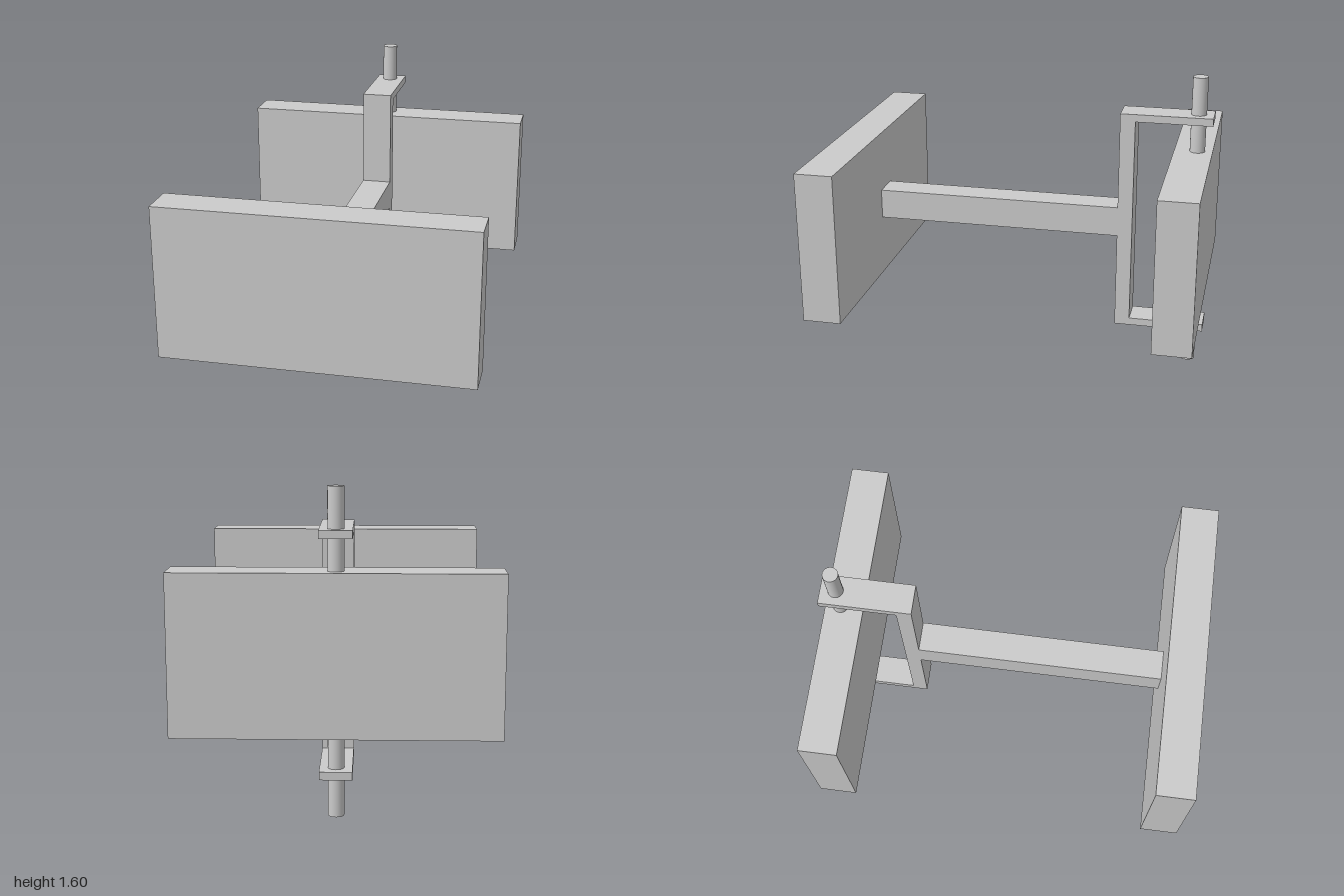
import * as THREE from 'three';

const material = new THREE.MeshStandardMaterial({ color: 0xcccccc });

function add(parent, name, geometry, x, y, z) {
  const mesh = new THREE.Mesh(geometry, material);
  mesh.name = name;
  mesh.position.set(x, y, z);
  parent.add(mesh);
  return mesh;
}

export function createModel() {
  const model = new THREE.Group();
  model.name = 'pivotingFrame';

  // Two matching boards, one fixed in front and one hinged at the back
  for (const [name, z] of [['frontBoard', 0.9], ['backBoard', -0.9]]) {
    add(model, name, new THREE.BoxGeometry(1.6, 0.8, 0.2), 0, 0.8, z);
  }

  // Beam from the front board to the bracket
  add(model, 'beam', new THREE.BoxGeometry(0.16, 0.16, 1.32), 0, 0.8, 0.14);

  // C-shaped bracket, drawn in profile (back distance, height) and extruded across x
  const profile = new THREE.Shape([
    [0.52, 0.2], [1, 0.2], [1, 0.24], [0.6, 0.24],
    [0.6, 1.36], [1, 1.36], [1, 1.4], [0.52, 1.4],
  ].map(([d, y]) => new THREE.Vector2(d, y)));
  const bracket = new THREE.ExtrudeGeometry(profile, { depth: 0.16, bevelEnabled: false });
  bracket.translate(0, 0, -0.08).rotateY(Math.PI / 2);
  add(model, 'bracket', bracket, 0, 0, 0);

  // Hinge pin through the bracket arms and back board
  add(model, 'hingePin', new THREE.CylinderGeometry(0.04, 0.04, 1.6, 32), 0, 0.8, -0.92);

  return model;
}
